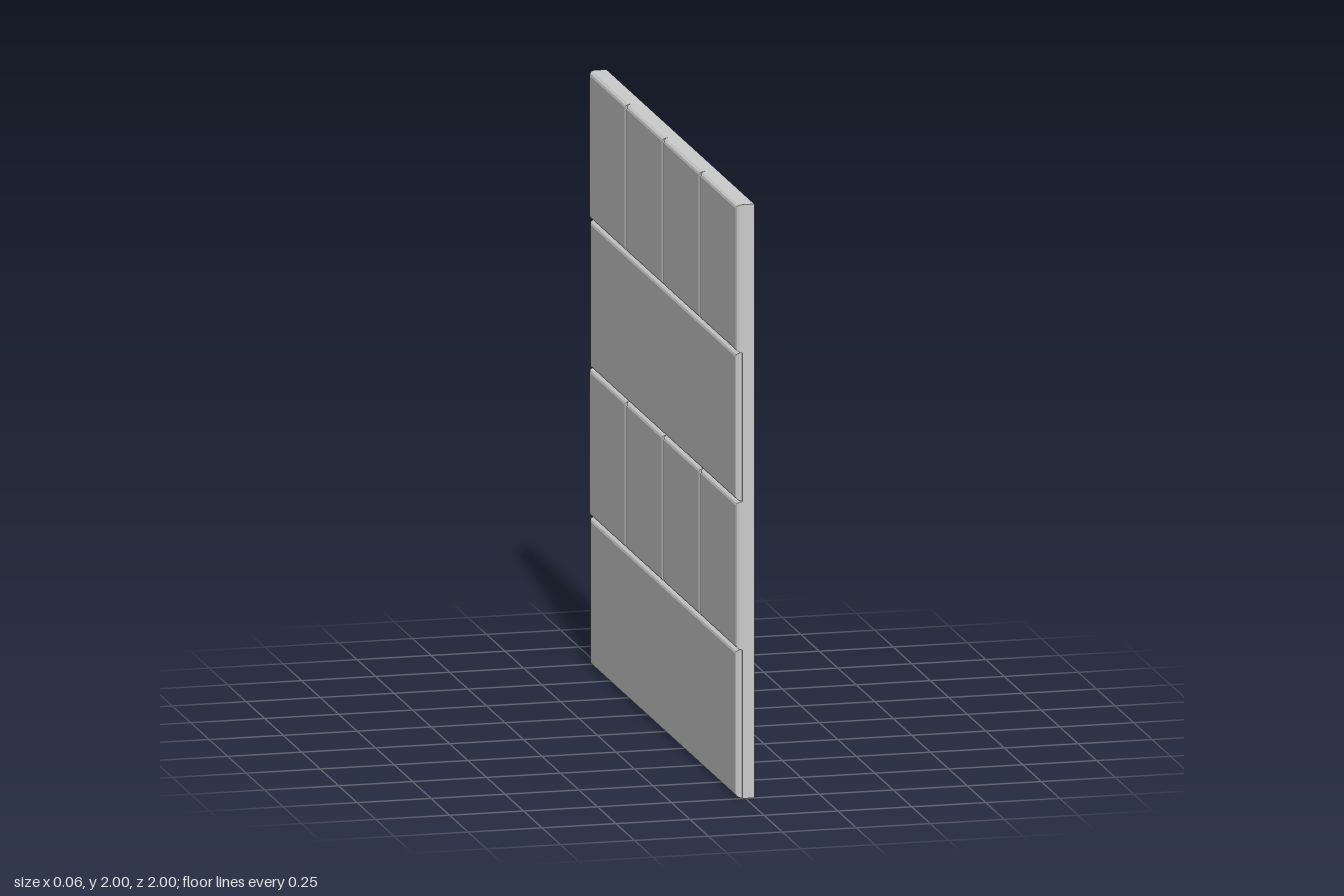
import * as THREE from 'three';

const material = new THREE.MeshStandardMaterial({ color: 0xcccccc, flatShading: true });
const ROW = 0.5, BEVEL = 0.015, RELIEF = 0.02;

// Slab with rounded edges, raised towards -x; its back is sunk into the backing
function slab(name, length, z, y) {
  const w = length / 2 - BEVEL, h = ROW / 2 - BEVEL;
  const shape = new THREE.Shape([
    new THREE.Vector2(-w, -h), new THREE.Vector2(w, -h),
    new THREE.Vector2(w, h), new THREE.Vector2(-w, h),
  ]);
  const geometry = new THREE.ExtrudeGeometry(shape, {
    depth: 0.005, bevelEnabled: true, bevelSize: BEVEL, bevelThickness: RELIEF, bevelSegments: 3,
  });
  const mesh = new THREE.Mesh(geometry, material);
  mesh.name = name;
  mesh.rotation.y = -Math.PI / 2;
  mesh.position.set(-0.005, y, z);
  return mesh;
}

export function createModel() {
  const group = new THREE.Group();
  group.name = 'wallPanel';

  // Flat backing
  const backing = new THREE.Mesh(new THREE.BoxGeometry(0.04, 2, 2), material);
  backing.name = 'backing';
  backing.position.set(0.01, 1, 0);
  group.add(backing);

  // Rows alternate between one long plank and four square tiles
  for (let row = 0; row < 4; row++) {
    const y = ROW * (row + 0.5);
    if (row % 2 === 0) {
      group.add(slab('plank', 1.985, 0, y));
    } else {
      for (let i = 0; i < 4; i++) group.add(slab('tile', 0.5, -0.75 + i * 0.5, y));
    }
  }
  return group;
}
